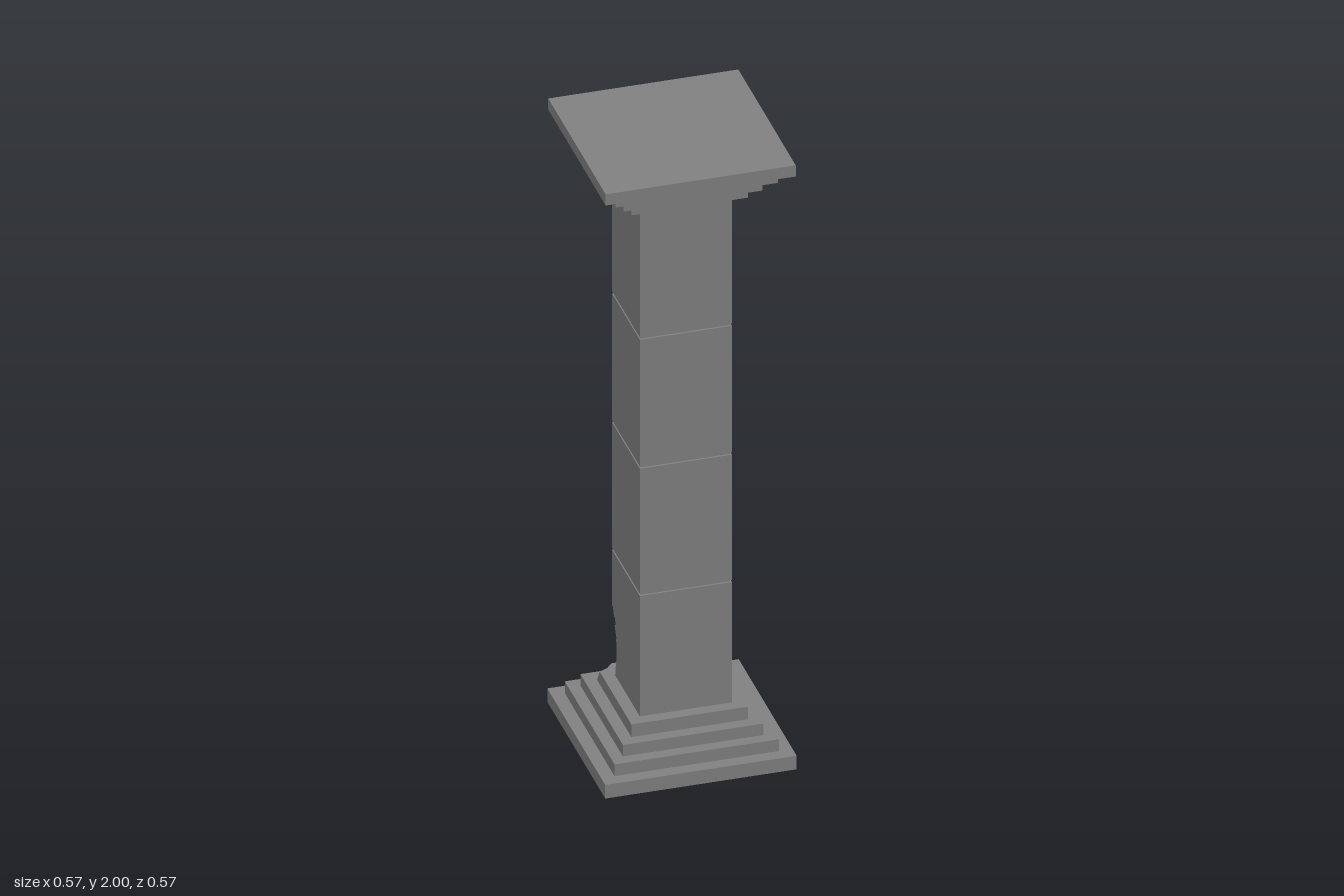
import * as THREE from 'three';

const stone = new THREE.MeshStandardMaterial({ color: 0x808080, flatShading: true });
const H = 0.1375; // half width of the shaft

// Chip tables, one row per height: y, cut along x, cut along z, hollowness (0.5 = flat cut)
const NONE = [[0, 0.0005, 0.0005, 0.5], [2, 0.0005, 0.0005, 0.5]];
const edgeChip = [
  [0.80, 0.0005, 0.0005, 0.5], [0.815, 0.022, 0.012, 0.5], [0.85, 0.028, 0.034, 0.5], [0.90, 0.022, 0.027, 0.55],
  [0.97, 0.016, 0.02, 0.5], [1.03, 0.013, 0.018, 0.55], [1.07, 0.02, 0.013, 0.5], [1.14, 0.017, 0.02, 0.55],
  [1.20, 0.012, 0.016, 0.5], [1.28, 0.019, 0.012, 0.55], [1.34, 0.012, 0.016, 0.5], [1.39, 0.02, 0.011, 0.5],
  [1.43, 0.01, 0.017, 0.55], [1.455, 0.012, 0.009, 0.5], [1.49, 0.0005, 0.0005, 0.5],
];
const footChip = [
  [0.16, 0.04, 0.03, 0.55], [0.19, 0.025, 0.035, 0.5], [0.22, 0.04, 0.042, 0.6], [0.265, 0.092, 0.045, 0.55],
  [0.285, 0.097, 0.04, 0.5], [0.295, 0.05, 0.042, 0.6], [0.325, 0.045, 0.025, 0.5], [0.33, 0.03, 0.035, 0.6],
  [0.35, 0.038, 0.03, 0.5], [0.355, 0.022, 0.016, 0.6], [0.375, 0.026, 0.01, 0.5], [0.38, 0.0005, 0.0005, 0.5],
];
const stepChip = [[0.122, 0.012, 0.01, 0.5], [0.14, 0.04, 0.02, 0.55], [0.164, 0.045, 0.035, 0.6]];

// Linear lookup in a chip table, held constant past its ends
function sample(table, y) {
  const i = table.findIndex((r) => r[0] >= y);
  if (i === 0) return table[0];
  if (i < 0) return table[table.length - 1];
  const a = table[i - 1], b = table[i], t = (y - a[0]) / (b[0] - a[0]);
  return a.map((v, j) => v + (b[j] - v) * t);
}

// Square cross-section whose two back corners are cut by the chips; inset clamps it for a joint
function section(y, h, inset, leftChip, rightChip) {
  const [, ax, az, ak] = sample(leftChip, y);
  const [, bx, bz, bk] = sample(rightChip, y);
  const c = h - inset;
  return [
    [h, h], [h, -h + az], [h - ax * ak, -h + az * ak], [h - ax, -h],
    [-h + bx, -h], [-h + bx * bk, -h + bz * bk], [-h, -h + bz], [-h, h],
  ].map(([x, z]) => [THREE.MathUtils.clamp(x, -c, c), y, THREE.MathUtils.clamp(z, -c, c)]);
}

// Skin a stack of cross-sections and close both ends
function loft(rings) {
  const pos = [];
  const n = rings[0].length, last = rings.length - 1;
  for (let i = 0; i < n; i++) {
    const j = (i + 1) % n;
    for (let k = 0; k < last; k++) {
      const a = rings[k], b = rings[k + 1];
      pos.push(...a[i], ...a[j], ...b[j], ...a[i], ...b[j], ...b[i]);
    }
    pos.push(0, rings[0][0][1], 0, ...rings[0][j], ...rings[0][i]);
    pos.push(0, rings[last][0][1], 0, ...rings[last][i], ...rings[last][j]);
  }
  const g = new THREE.BufferGeometry();
  g.setAttribute('position', new THREE.Float32BufferAttribute(pos, 3));
  g.computeVertexNormals();
  return g;
}

export function createModel() {
  const model = new THREE.Group();
  const add = (name, geometry, y = 0) => {
    const mesh = new THREE.Mesh(geometry, stone);
    mesh.name = name;
    mesh.position.y = y;
    model.add(mesh);
  };
  const slab = (name, half, y0, y1) =>
    add(name, new THREE.BoxGeometry(half * 2, y1 - y0, half * 2), (y0 + y1) / 2);

  // Stepped base
  slab('baseStep1', 0.286, 0, 0.045);
  slab('baseStep2', 0.246, 0.045, 0.084);
  slab('baseStep3', 0.21, 0.084, 0.122);
  add('baseStep4', loft(stepChip.map(([y]) => section(y, 0.174, 0, NONE, stepChip))));

  // Shaft of four blocks, with thin joints and two broken edges
  const levels = [0.15, 1.86, ...edgeChip.map((r) => r[0]), ...footChip.map((r) => r[0])].map((y) => [y, 0]);
  for (const y of [0.566, 0.988, 1.415]) {
    levels.push([y - 0.0035, 0], [y - 0.003, 0.005], [y + 0.003, 0.005], [y + 0.0035, 0]);
  }
  levels.sort((a, b) => a[0] - b[0]);
  add('shaft', loft(levels.map(([y, inset]) => section(y, H, inset, edgeChip, footChip))));

  // Stepped capital
  slab('capitalStep1', 0.174, 1.85, 1.887);
  slab('capitalStep2', 0.208, 1.887, 1.926);
  slab('capitalStep3', 0.243, 1.926, 1.963);
  slab('capitalStep4', 0.284, 1.963, 2);

  return model;
}
